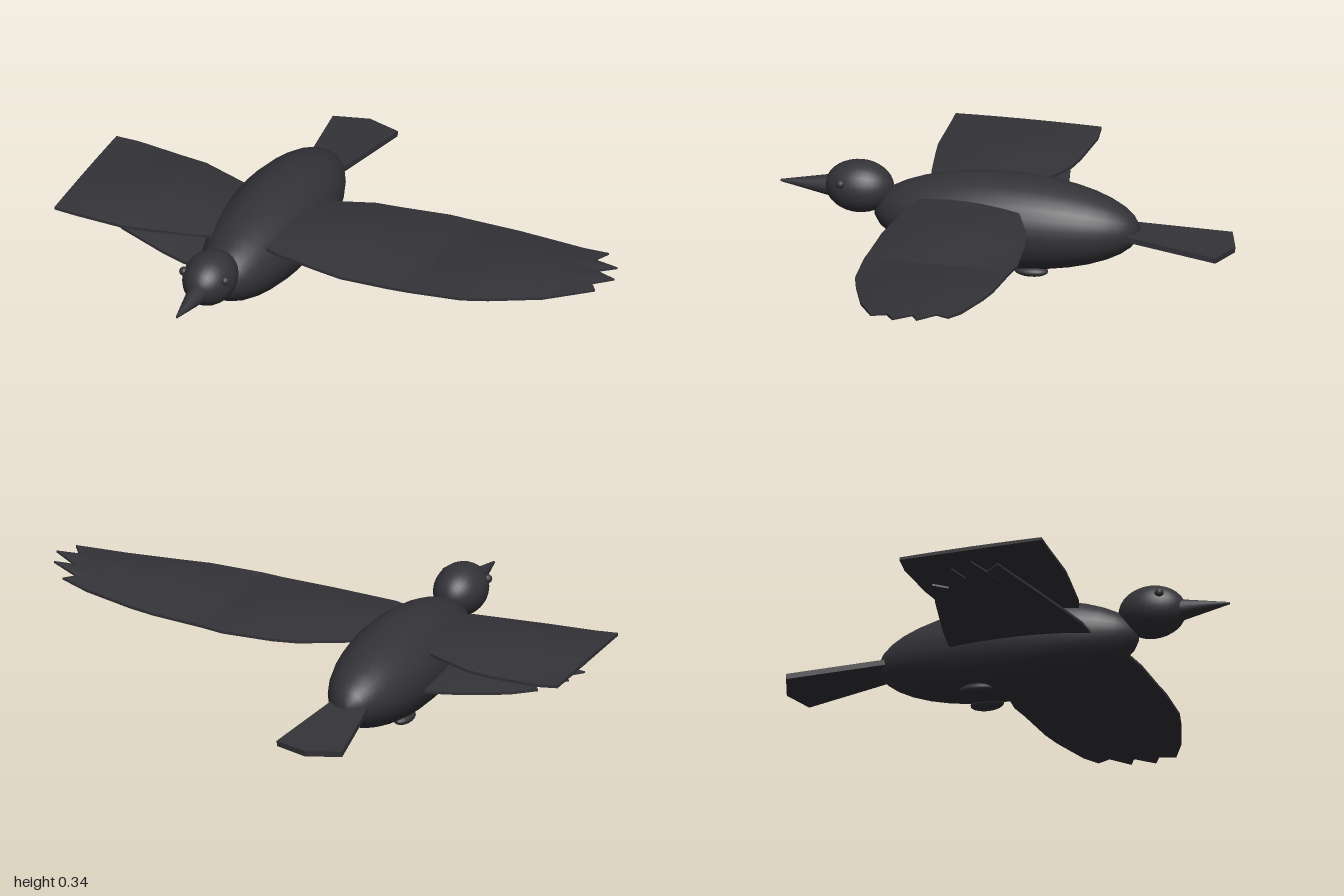
import * as THREE from 'three';
import { toCreasedNormals } from 'three/addons/utils/BufferGeometryUtils.js';

const plumage = new THREE.MeshStandardMaterial({ color: 0x333338 });
plumage.name = 'charcoal plumage';

function add(parent, name, geometry, x = 0, y = 0, z = 0) {
  const mesh = new THREE.Mesh(geometry, plumage);
  mesh.name = name;
  mesh.position.set(x, y, z);
  parent.add(mesh);
  return mesh;
}

const ellipsoid = (rx, ry, rz, w = 28, h = 18) =>
  new THREE.SphereGeometry(1, w, h).rotateX(Math.PI / 2).scale(rx, ry, rz);

const SPAN = 7; // points across the wing, trailing edge to leading edge

// One wing section: arched on top, flat below
function section([x, trail, lead, y, crown]) {
  return Array.from({ length: SPAN }, (_, j) => {
    const u = (2 * j) / (SPAN - 1) - 1;
    return { x, z: trail + ((lead - trail) * (u + 1)) / 2, low: y - 0.005, high: y + 0.005 + crown * (1 - u * u) };
  });
}

// Closed surface lofted through the sections
function loftWing(rows) {
  const positions = [], index = [], ring = SPAN * 2;
  for (const row of rows) {
    for (const p of row) positions.push(p.x, p.high, p.z);
    for (const p of [...row].reverse()) positions.push(p.x, p.low, p.z);
  }
  for (let i = 0; i < rows.length - 1; i++) {
    for (let j = 0; j < ring; j++) {
      const a = i * ring + j, b = i * ring + ((j + 1) % ring);
      index.push(a, b, b + ring, a, b + ring, a + ring);
    }
  }
  const end = (rows.length - 1) * ring;
  for (let j = 0; j < SPAN - 1; j++) {
    const t0 = j, t1 = j + 1, b0 = ring - 1 - j, b1 = ring - 2 - j;
    index.push(b0, b1, t1, b0, t1, t0);
    index.push(end + b0, end + t1, end + b1, end + b0, end + t0, end + t1);
  }
  const g = new THREE.BufferGeometry();
  g.setAttribute('position', new THREE.Float32BufferAttribute(positions, 3));
  g.setIndex(index);
  return toCreasedNormals(g, 0.3);
}

// Sections: x, trailing z, leading z, height, crown
const innerWing = () => loftWing([
  [0.08, -0.05, 0.28, 0.262, 0.015],
  [0.15, -0.08, 0.305, 0.262, 0.02],
  [0.32, -0.15, 0.332, 0.257, 0.036],
  [0.41, -0.163, 0.345, 0.255, 0.04],
  [0.59, -0.18, 0.345, 0.26, 0.015],
  [0.67, -0.172, 0.345, 0.265, 0.003],
].map(section));

// Outer wing, ending in four feather tips
function outerWing() {
  const tips = [[0.56, -0.09], [0.53, -0.04], [0.635, 0.005], [0.57, 0.035], [0.66, 0.085], [0.59, 0.12], [0.625, 0.17]]
    .map(([x, z]) => {
      const y = 0.303 + (x - 0.48) * 0.18;
      return { x, z, low: y - 0.003, high: y + 0.004 };
    });
  return loftWing([
    ...[
      [0, -0.172, 0.345, 0.265, 0.003],
      [0.19, -0.16, 0.33, 0.274, 0.027],
      [0.28, -0.147, 0.305, 0.28, 0.035],
      [0.46, -0.112, 0.245, 0.298, 0.022],
    ].map(section),
    tips,
  ]);
}

function tailFan() {
  const shape = new THREE.Shape([[-0.065, 0.4], [0.065, 0.4], [0.123, 0.77], [0, 0.81], [-0.123, 0.77]]
    .map(([x, y]) => new THREE.Vector2(x, y)));
  return new THREE.ExtrudeGeometry(shape, { depth: 0.02, bevelEnabled: false }).rotateX(-Math.PI / 2);
}

export function createModel() {
  const model = new THREE.Group();
  model.name = 'bird';
  const bird = new THREE.Group();
  bird.name = 'birdBody';
  bird.position.x = -0.332;
  model.add(bird);

  // Body, head and beak
  add(bird, 'body', ellipsoid(0.174, 0.166, 0.47), 0, 0.179, 0);
  add(bird, 'head', ellipsoid(0.092, 0.092, 0.12), 0, 0.254, 0.522);
  add(bird, 'beak', new THREE.CylinderGeometry(0.004, 0.042, 0.2, 16).rotateX(Math.PI / 2), 0, 0.247, 0.702);

  // Tail
  add(bird, 'tail', tailFan(), 0, 0.2, 0).rotation.x = -0.08;

  // Eyes and tucked feet
  for (const side of [-1, 1]) {
    const label = side > 0 ? 'left' : 'right';
    add(bird, label + 'Eye', ellipsoid(0.016, 0.016, 0.016, 12, 8), side * 0.078, 0.286, 0.572);
    add(bird, label + 'Foot', ellipsoid(0.034, 0.02, 0.06, 16, 10), side * 0.062, 0.024, -0.1);
  }

  // Left wing, fully spread
  const leftWing = new THREE.Group();
  leftWing.name = 'leftWing';
  add(leftWing, 'innerWing', innerWing());
  add(leftWing, 'outerWing', outerWing(), 0.67);
  bird.add(leftWing);

  // Right wing, outer half tucked beneath the inner half
  const rightWing = new THREE.Group();
  rightWing.name = 'rightWing';
  rightWing.scale.x = -1;
  add(rightWing, 'innerWing', innerWing());
  add(rightWing, 'outerWing', outerWing(), 0, -0.115);
  bird.add(rightWing);

  return model;
}
